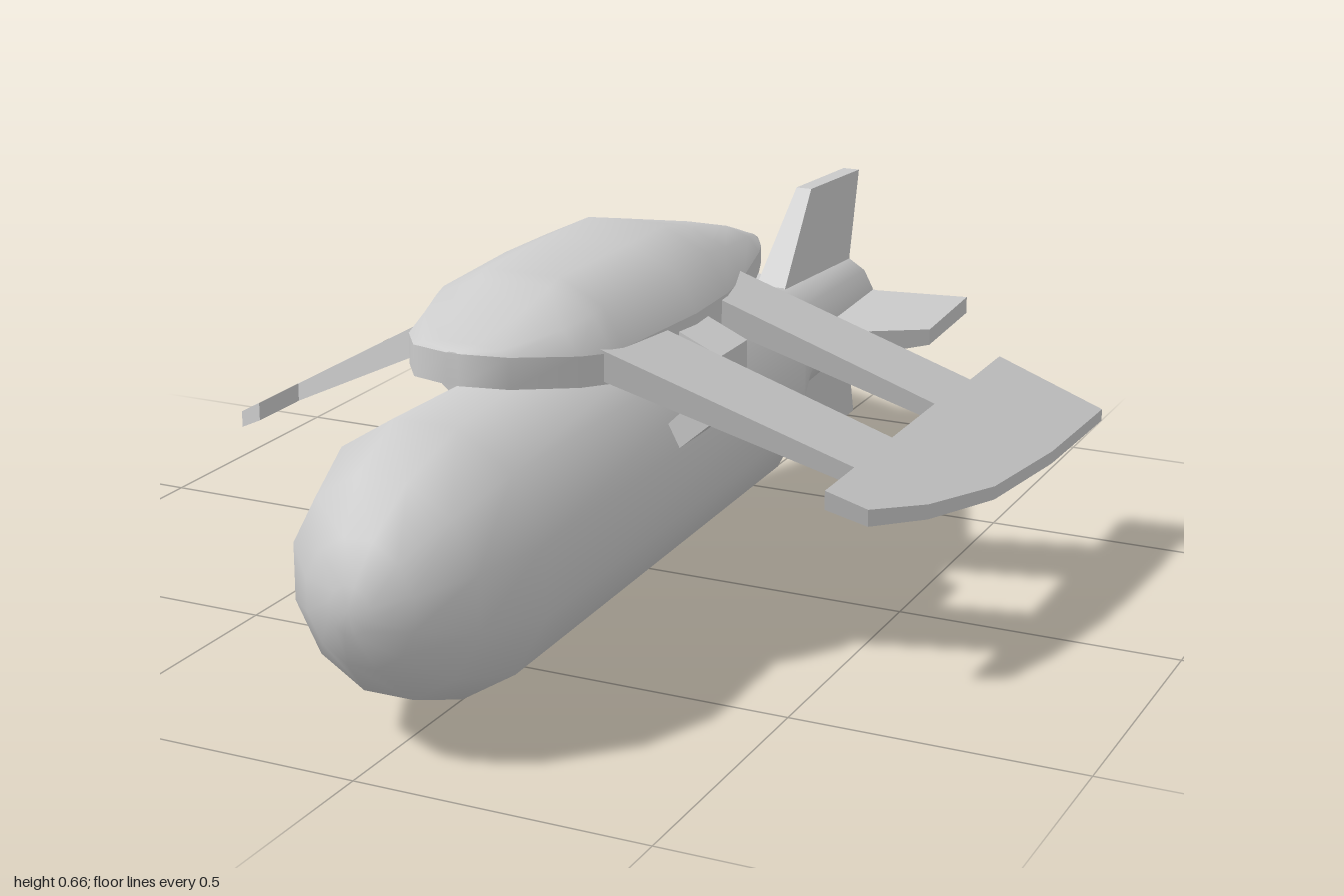
import * as THREE from 'three';
import { toCreasedNormals } from 'three/addons/utils/BufferGeometryUtils.js';

const AXIS_Y = 0.275;
const lerp = THREE.MathUtils.lerp;
const grey = new THREE.MeshStandardMaterial({ color: 0xcccccc });

function add(parent, name, geometry) {
  const mesh = new THREE.Mesh(geometry, grey);
  mesh.name = name;
  parent.add(mesh);
  return mesh;
}

// Piecewise linear lookup in [z, value] pairs sorted by falling z
function sample(table, z) {
  for (let i = 1; i < table.length; i++) {
    const [z0, v0] = table[i - 1], [z1, v1] = table[i];
    if (z >= z1) return lerp(v0, v1, Math.max(0, (z0 - z) / (z0 - z1)));
  }
  return table[table.length - 1][1];
}

// Flat plate from an [x, z] outline; heightAt(x, t) gives the lower (t=0) and upper (t=1) face
function plate(outline, heightAt) {
  const shape = new THREE.Shape(outline.map(([x, z]) => new THREE.Vector2(x, -z)));
  const geo = new THREE.ExtrudeGeometry(shape, { depth: 1, bevelEnabled: false });
  geo.rotateX(-Math.PI / 2);
  const p = geo.attributes.position;
  for (let i = 0; i < p.count; i++) p.setY(i, heightAt(Math.abs(p.getX(i)), p.getY(i)));
  geo.computeVertexNormals();
  return geo;
}

// Closed skin through cross-sections running front to back, each anticlockwise seen from the front
function loft(rings, crease) {
  const n = rings[0].length, last = (rings.length - 1) * n, index = [];
  for (let i = 0; i < rings.length - 1; i++) {
    for (let j = 0; j < n; j++) {
      const a = i * n + j, b = i * n + (j + 1) % n;
      index.push(a, a + n, b + n, a, b + n, b);
    }
  }
  for (let j = 1; j < n - 1; j++) {
    index.push(0, j, j + 1, last, last + j + 1, last + j);
  }
  const geo = new THREE.BufferGeometry();
  geo.setAttribute('position', new THREE.Float32BufferAttribute(rings.flat(2), 3));
  geo.setIndex(index);
  return toCreasedNormals(geo, crease);
}

// Twelve-sided hull with a blunt nose and a narrow tail
function hullGeometry() {
  const profile = [
    [0, -0.92], [0.1, -0.92], [0.114, -0.58], [0.128, -0.52], [0.163, -0.42],
    [0.215, -0.3], [0.232, 0.76], [0.182, 0.89], [0.105, 0.965], [0.04, 0.995], [0, 1],
  ].map(([r, z]) => new THREE.Vector2(r, z));
  const geo = new THREE.LatheGeometry(profile, 12, Math.PI / 12);
  geo.rotateX(Math.PI / 2);
  geo.scale(0.92, 1, 1);
  geo.translate(0, AXIS_Y, 0);
  return toCreasedNormals(geo, 1.0);
}

// Teardrop saddle on top of the hull: a vertical rim and a dome
function addSaddle(parent) {
  const stations = [
    [0.673, 0.01], [0.645, 0.085], [0.54, 0.155], [0.47, 0.177], [0.44, 0.182], [0.2, 0.2], [0.06, 0.194],
    [-0.05, 0.175], [-0.28, 0.105], [-0.34, 0.083], [-0.42, 0.042], [-0.445, 0.008],
  ];
  const bottom = [[0.67, 0.535], [0.48, 0.505], [-0.05, 0.5], [-0.445, 0.5]];
  const rim = [[0.67, 0.587], [0.48, 0.556], [-0.05, 0.555], [-0.445, 0.525]];
  const ridge = [[0.67, 0.589], [0.44, 0.66], [0.06, 0.66], [-0.28, 0.58], [-0.445, 0.527]];

  const rimRings = stations.map(([z, w]) => {
    const b = sample(bottom, z), t = sample(rim, z);
    return [[w, b, z], [w, t, z], [-w, t, z], [-w, b, z]];
  });
  const domeRings = stations.map(([z, w]) => {
    const t = sample(rim, z), r = sample(ridge, z), m = lerp(t, r, 0.62);
    return [
      [w, t, z], [0.8 * w, m, z], [0.37 * w, r, z],
      [-0.37 * w, r, z], [-0.8 * w, m, z], [-w, t, z],
    ];
  });
  add(parent, 'saddleRim', loft(rimRings, 0.8));
  add(parent, 'saddleDome', loft(domeRings, 0.9));
}

// Drooping wing: two swept struts carrying a long outer blade
function wingGeometry(side) {
  const outline = [
    [0.15, 0.5], [0.525, 0.3], [0.525, 0.425], [0.585, 0.39], [0.635, 0.25], [0.68, 0.05],
    [0.7, -0.2], [0.705, -0.48], [0.53, -0.405], [0.53, -0.245], [0.14, -0.035],
    [0.14, 0.115], [0.525, -0.075], [0.525, 0.13], [0.15, 0.32],
  ].map(([x, z]) => [side * x, z]);
  return plate(outline, (x, t) => {
    const k = (x - 0.185) / 0.52;
    return lerp(lerp(0.505, 0.24, k), lerp(0.555, 0.262, k), t);
  });
}

// Bent bracket joining saddle and hull
function bracketGeometry(side) {
  const outline = [
    [0.17, 0.55], [0.27, 0.505], [0.27, 0.4], [0.19, 0.33],
    [0.16, 0.36], [0.215, 0.415], [0.215, 0.48], [0.17, 0.505],
  ].map(([x, y]) => new THREE.Vector2(side * x, y));
  const geo = new THREE.ExtrudeGeometry(new THREE.Shape(outline), { depth: 0.11, bevelEnabled: false });
  return geo.translate(0, 0, 0.15);
}

// Swept tail fin, thinner toward its tip
function finGeometry(turn) {
  const outline = [[0.04, -0.58], [0.105, -0.58], [0.273, -0.745], [0.26, -1], [0.095, -0.92], [0.04, -0.92]];
  const geo = plate(outline, (x, t) => (2 * t - 1) * lerp(0.031, 0.016, (x - 0.1) / 0.17));
  geo.rotateZ(turn * Math.PI / 2);
  return geo.translate(0, AXIS_Y, 0);
}

export function createModel() {
  const model = new THREE.Group();
  model.name = 'wingedCapsule';
  add(model, 'hull', hullGeometry());
  addSaddle(model);
  for (const [side, label] of [[1, 'left'], [-1, 'right']]) {
    add(model, label + 'Wing', wingGeometry(side));
    add(model, label + 'Bracket', bracketGeometry(side));
  }
  ['leftFin', 'topFin', 'rightFin', 'bottomFin'].forEach((name, i) => add(model, name, finGeometry(i)));
  return model;
}
